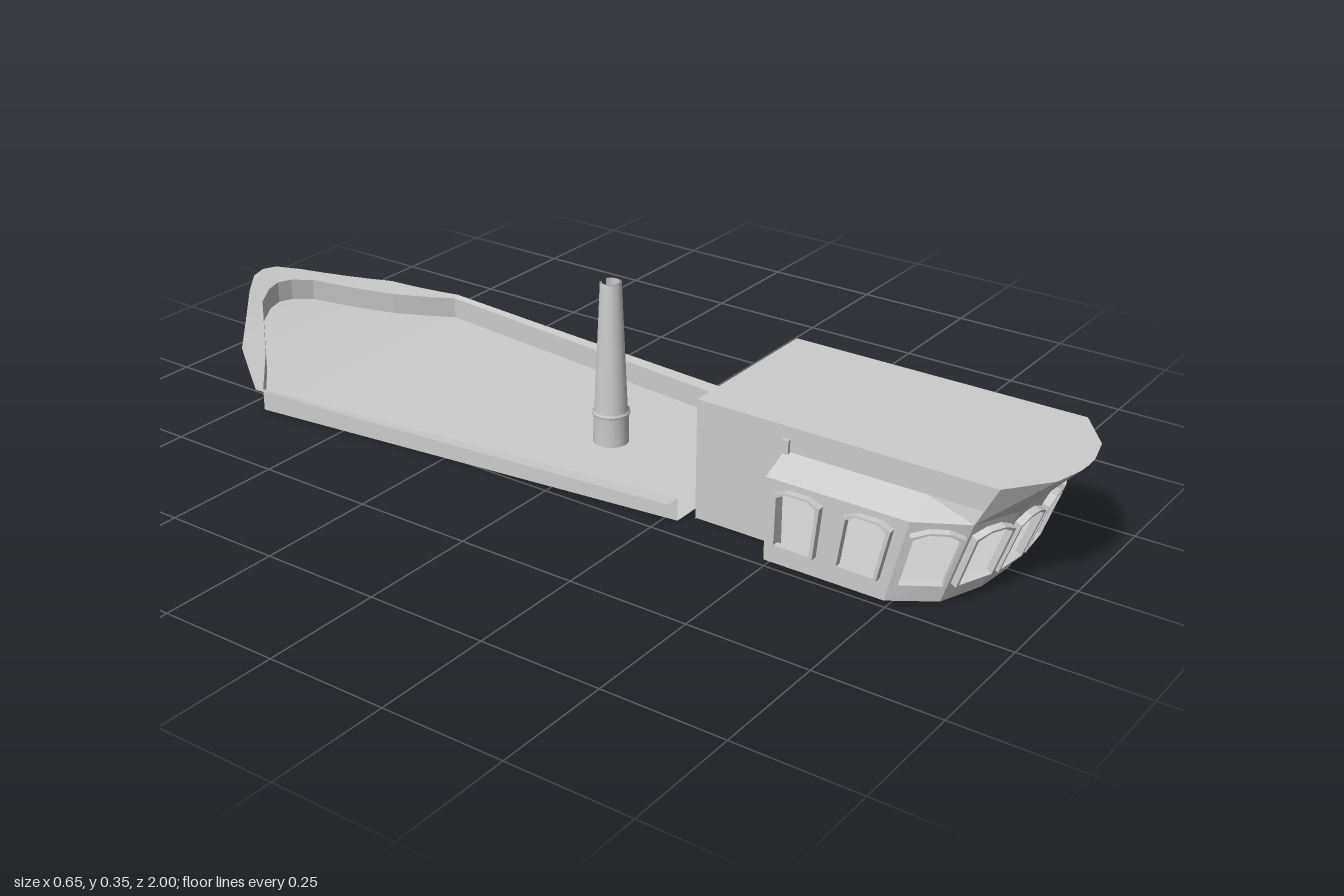
import * as THREE from 'three';

const flat = new THREE.MeshStandardMaterial({ color: 0xcccccc, flatShading: true, side: THREE.DoubleSide });
const smooth = new THREE.MeshStandardMaterial({ color: 0xcccccc, side: THREE.DoubleSide });
const V = (x, y, z) => new THREE.Vector3(x, y, z);

function add(group, name, geometry, material = flat) {
  const mesh = new THREE.Mesh(geometry, material);
  mesh.name = name;
  group.add(mesh);
  return mesh;
}

// Strip of quads between two rows of points
function strip(a, b) {
  const pos = [], idx = [];
  a.forEach((p, i) => {
    pos.push(...p.toArray(), ...b[i].toArray());
    if (i) { const k = 2 * i; idx.push(k - 2, k - 1, k, k, k - 1, k + 1); }
  });
  const g = new THREE.BufferGeometry();
  g.setAttribute('position', new THREE.Float32BufferAttribute(pos, 3));
  g.setIndex(idx);
  g.computeVertexNormals();
  return g;
}

// Flat plate from an x,z outline
function plate(points, y) {
  const shape = new THREE.Shape(points.map(([x, z]) => new THREE.Vector2(x, z)));
  return new THREE.ShapeGeometry(shape).rotateX(Math.PI / 2).translate(0, y, 0);
}

// Half outline (+x side) mirrored to a full outline
const mirrored = half => [...half, ...half.filter(p => p[0] > 0).reverse().map(([x, z]) => [-x, z])];

// Place a unit-square geometry on a quad, with its z as outward depth
function mapToQuad(geometry, [bl, br, tr, tl], normal) {
  const p = geometry.attributes.position, v = V(0, 0, 0);
  for (let i = 0; i < p.count; i++) {
    v.fromBufferAttribute(p, i);
    const low = bl.clone().lerp(br, v.x), high = tl.clone().lerp(tr, v.x);
    const q = low.lerp(high, v.y).addScaledVector(normal, v.z);
    p.setXYZ(i, q.x, q.y, q.z);
  }
  geometry.computeVertexNormals();
  return geometry;
}

// Window outline with a low peaked top
function windowPath(Type, mu, mv) {
  const path = new Type();
  path.moveTo(mu, 0.24 + mv);
  path.lineTo(1 - mu, 0.24 + mv);
  path.lineTo(1 - mu, 0.86 - mv);
  path.lineTo(0.66, 0.925 - mv);
  path.lineTo(0.34, 0.925 - mv);
  path.lineTo(mu, 0.86 - mv);
  path.closePath();
  return path;
}

// Door outline with an arched top
function doorPath(Type, r, top) {
  const path = new Type();
  path.moveTo(-r, 0);
  path.lineTo(r, 0);
  path.lineTo(r, top - r * 0.6);
  path.absellipse(0, top - r * 0.6, r, r * 0.6, 0, Math.PI, false, 0);
  path.lineTo(-r, 0);
  return path;
}

function buildHull() {
  const hull = new THREE.Group();
  hull.name = 'hull';
  const sheer = z => { const d = Math.max(0, -0.7 - z); return 0.2 * d + 0.45 * d * d; };
  const inner = [[0.205, 0.28], [0.31, -0.7], [0.205, -0.795], [0.08, -0.925], [0.035, -0.948], [0, -0.955]];
  const outer = [[0.24, 0.28], [0.326, -0.705], [0.24, -0.83], [0.08, -0.963], [0.035, -0.993], [0, -1]];
  // Subdivide each edge so the bow curves upward smoothly
  const refine = pts => pts.flatMap((p, i) => i === pts.length - 1 ? [p] : [0, 1, 2, 3].map(k =>
    [0, 1].map(c => p[c] + (pts[i + 1][c] - p[c]) * k / 4)));
  const a = refine(inner), b = refine(outer);
  const row = (pts, s, h) => pts.map(([x, z]) => V(s * x, sheer(z) + h, z));
  add(hull, 'deck', strip(row(a, -1, 0.003), row(a, 1, 0.003)), smooth);
  for (const s of [-1, 1]) {
    add(hull, 'bulwark', strip(row(a, s, 0.003), row(a, s, 0.05)));
    add(hull, 'rim', strip(row(a, s, 0.05), row(b, s, 0.052)));
  }
  add(hull, 'gangway', plate([[-0.06, 0.27], [0.06, 0.27], [0.06, 0.31], [-0.06, 0.31]], 0.001));
  return hull;
}

function buildCabin() {
  const cabin = new THREE.Group();
  cabin.name = 'cabin';
  const W = 0.175, TOP = 0.25, BELT = 0.172, BACK = 0.3, BAY = 0.49;
  const belt = [[0.235, BAY], [0.235, 0.635], [0.235, 0.78], [0.18, 0.875], [0.09, 0.915], [0, 0.925]];
  const bottomZ = z => BAY + (z - BAY) * 0.86;
  const roof = [[W, 0.915], [0.09, 0.98], [0.03, 0.995], [0, 0.997]];

  add(cabin, 'roof', plate(mirrored([[W, BACK], ...roof]), TOP));
  add(cabin, 'floor', plate(mirrored([[W, BACK], [W, BAY], ...belt.map(([x, z]) => [x, bottomZ(z)])]), 0.003));

  // Back wall with arched doorway
  const wall = new THREE.Shape([[-W, 0], [W, 0], [W, TOP], [-W, TOP]].map(p => new THREE.Vector2(...p)));
  const opening = doorPath(THREE.Path, 0.05, 0.15);
  opening.getPoints();
  wall.holes.push(new THREE.Path(opening.getPoints(8).map(p => p.setY(Math.max(p.y, 0.004)))));
  add(cabin, 'backWall', new THREE.ShapeGeometry(wall).translate(0, 0, BACK));
  const surround = doorPath(THREE.Shape, 0.06, 0.162);
  surround.holes.push(new THREE.Path(doorPath(THREE.Path, 0.05, 0.15).getPoints(8).map(p => p.setY(Math.max(p.y, 0.004)))));
  add(cabin, 'doorFrame', new THREE.ExtrudeGeometry(surround, { depth: 0.014, bevelEnabled: false, curveSegments: 8 })
    .translate(0, 0, BACK - 0.014));

  for (const s of [-1, 1]) {
    // Straight side walls and the end of the side bay
    add(cabin, 'sideWall', strip([V(s * W, 0.003, BACK), V(s * W, 0.003, BAY)], [V(s * W, TOP, BACK), V(s * W, TOP, BAY)]));
    add(cabin, 'upperSideWall', strip([V(s * W, 0.2, BAY), V(s * W, 0.2, 0.89)], [V(s * W, TOP, BAY), V(s * W, TOP, 0.915)]));
    add(cabin, 'bayEnd', strip([V(s * W, 0.003, BAY), V(s * 0.235, 0.003, BAY)], [V(s * W, 0.2, BAY), V(s * 0.235, BELT, BAY)]));
    add(cabin, 'sideBracket', new THREE.BoxGeometry(0.008, 0.03, 0.014)).position.set(s * 0.178, 0.21, 0.495);

    // Sloping roof over the bay
    add(cabin, 'bayRoof', strip(
      belt.slice(0, 4).map(([x, z]) => V(s * x, BELT, z)),
      [V(s * W, 0.2, BAY), V(s * W, 0.2, 0.635), V(s * W, 0.2, 0.78), V(s * W, 0.2, 0.89)]));

    // Overhanging front eave
    add(cabin, 'eave', strip(
      roof.map(([x, z]) => V(s * x, TOP, z)),
      [[0.18, 0.875], [0.09, 0.915], [0.03, 0.922], [0, 0.925]].map(([x, z]) => V(s * x, BELT, z))));

    // Raked window panels with projecting frames
    for (let i = 0; i < belt.length - 1; i++) {
      const [[x0, z0], [x1, z1]] = [belt[i], belt[i + 1]];
      const quad = [V(s * x0, 0.003, bottomZ(z0)), V(s * x1, 0.003, bottomZ(z1)), V(s * x1, BELT, z1), V(s * x0, BELT, z0)];
      const normal = quad[1].clone().sub(quad[0]).cross(quad[3].clone().sub(quad[0])).normalize();
      if (normal.dot(V(quad[0].x, 0, quad[0].z - 0.5)) < 0) normal.negate();
      const margin = i < 2 ? 0.16 : 0.06, mid = margin + 0.055;
      const panel = new THREE.Shape([[0, 0], [1, 0], [1, 1], [0, 1]].map(p => new THREE.Vector2(...p)));
      panel.holes.push(windowPath(THREE.Path, mid, 0.025));
      add(cabin, 'windowPanel', mapToQuad(new THREE.ShapeGeometry(panel), quad, normal));
      const ring = windowPath(THREE.Shape, margin, 0);
      ring.holes.push(windowPath(THREE.Path, mid, 0.025));
      add(cabin, 'windowFrame', mapToQuad(
        new THREE.ExtrudeGeometry(ring, { depth: 0.014, bevelEnabled: false }), quad, normal));
    }
  }
  return cabin;
}

export function createModel() {
  const model = new THREE.Group();
  model.name = 'riverBarge';
  model.add(buildHull(), buildCabin());

  // Tapered funnel, slotted along its rear
  const profile = [[0.037, 0.003], [0.036, 0.064], [0.039, 0.066], [0.039, 0.072], [0.034, 0.074], [0.022, 0.35],
    [0.018, 0.35], [0.026, 0.074], [0.028, 0.003]].map(p => new THREE.Vector2(...p));
  add(model, 'funnel', new THREE.LatheGeometry(profile, 20, Math.PI + 0.5, Math.PI * 2 - 1), smooth)
    .position.z = -0.025;
  return model;
}
